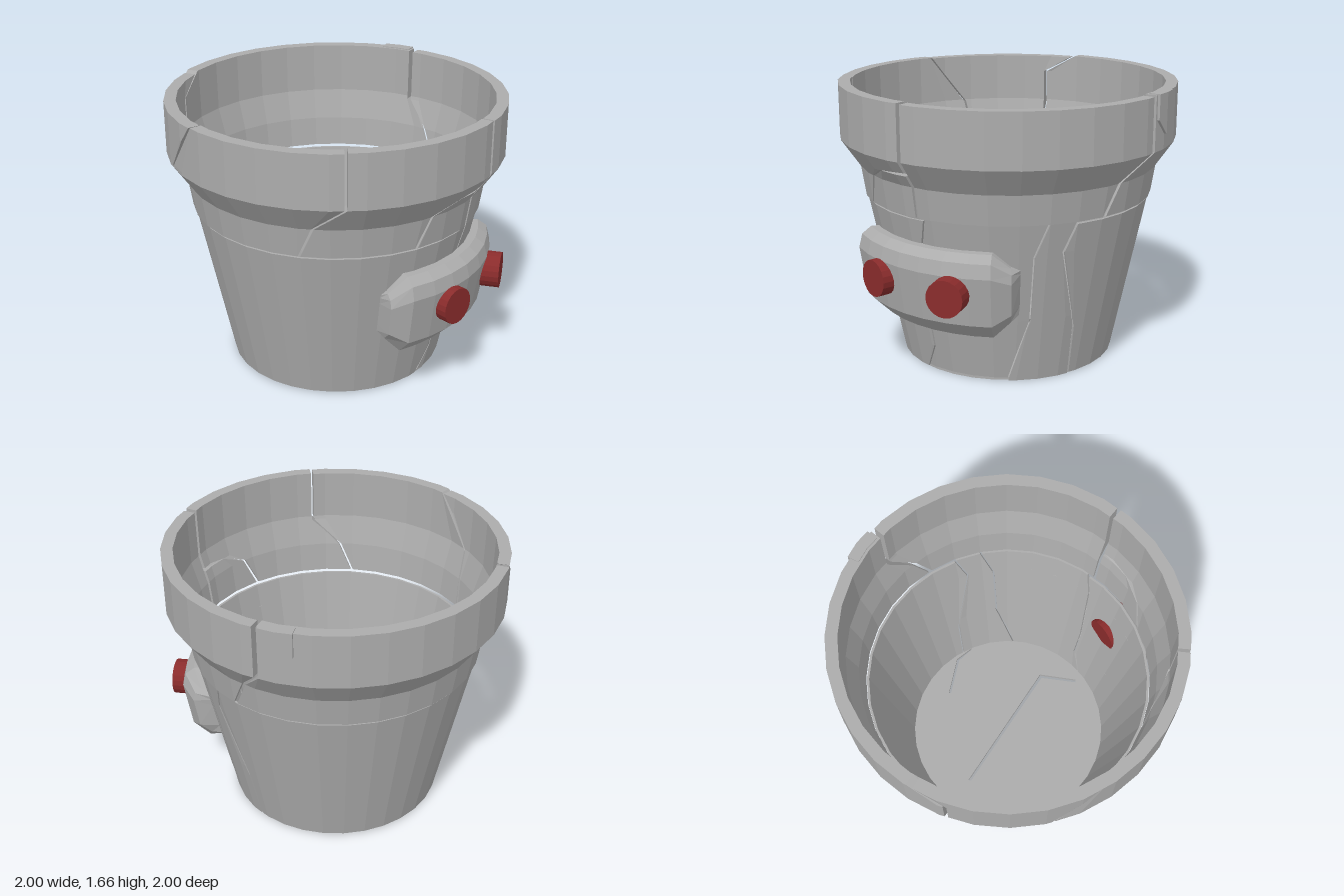
import * as THREE from 'three';

const RAD = Math.PI / 180;
const SIDES = 32;

// Linear lookup in a list of [y, value] pairs sorted by rising y
function at(list, y) {
  if (y <= list[0][0]) return list[0][1];
  for (let i = 1; i < list.length; i++) {
    const [y0, v0] = list[i - 1], [y1, v1] = list[i];
    if (y <= y1) return v0 + (v1 - v0) * (y - y0) / (y1 - y0);
  }
  return list[list.length - 1][1];
}

// Point on the faceted pot; angle in degrees from the front towards +x
function polar(r, deg, y) {
  const step = 360 / SIDES;
  const off = deg - Math.floor(deg / step) * step - step / 2;
  const rr = r * Math.cos(step / 2 * RAD) / Math.cos(off * RAD);
  return new THREE.Vector3(rr * Math.sin(deg * RAD), y, rr * Math.cos(deg * RAD));
}

// Collects quads into flat, unshared triangles
function mesher() {
  const pos = [];
  const tri = (a, b, c) => {
    const n = b.clone().sub(a).cross(c.clone().sub(a));
    if (n.lengthSq() > 1e-14) pos.push(...a.toArray(), ...b.toArray(), ...c.toArray());
  };
  return {
    tri,
    quad(a, b, c, d) { tri(a, b, c); tri(a, c, d); },
    geometry() {
      const g = new THREE.BufferGeometry();
      g.setAttribute('position', new THREE.Float32BufferAttribute(pos, 3));
      g.computeVertexNormals();
      return g;
    }
  };
}

// A piece of pot wall between two cracks, each a list of [y, angle]
function shard(outer, inner, left, right, y0, y1, gap = 0.5, push = 0) {
  const m = mesher();
  const ys = [...new Set([y0, y1, ...[outer, inner, left, right].flat().map(p => p[0])])]
    .filter(y => y >= y0 && y <= y1).sort((a, b) => a - b);
  const step = 360 / SIDES;
  const all = [...left, ...right].map(p => p[1]);
  const k0 = Math.floor(Math.min(...all) / step), k1 = Math.ceil(Math.max(...all) / step);
  const rows = ys.map(y => {
    const a = at(left, y) + gap / 2, b = Math.max(a, at(right, y) - gap / 2);
    const out = [], inn = [];
    for (let k = k0; k <= k1; k++) {
      const t = Math.min(b, Math.max(a, k * step));
      out.push(polar(at(outer, y) + push, t, y));
      inn.push(polar(at(inner, y) + push, t, y));
    }
    return [...out, ...inn.reverse()];
  });
  const n = rows[0].length;
  for (let j = 0; j + 1 < rows.length; j++)
    for (let i = 0; i < n; i++) {
      const q = (i + 1) % n;
      m.quad(rows[j][i], rows[j][q], rows[j + 1][q], rows[j + 1][i]);
    }
  const top = rows[rows.length - 1], low = rows[0];
  for (let i = 0; i < n / 2 - 1; i++) {
    const o = n - 1 - i;
    m.quad(top[i], top[i + 1], top[o - 1], top[o]);
    m.quad(low[o], low[o - 1], low[i + 1], low[i]);
  }
  return m.geometry();
}

const turn = crack => crack.map(([y, a]) => [y, a + 360]);

export function createModel() {
  const clay = new THREE.MeshStandardMaterial({ color: 0xacacac, flatShading: true, side: THREE.DoubleSide });
  clay.name = 'grey clay';
  const red = new THREE.MeshStandardMaterial({ color: 0x8a2c2c, flatShading: true });
  red.name = 'dark red';
  const model = new THREE.Group();
  model.name = 'crackedPot';
  const add = (name, geometry, material) => {
    const mesh = new THREE.Mesh(geometry, material);
    mesh.name = name;
    model.add(mesh);
    return mesh;
  };

  // Upper rim: profiles as [y, radius], cracks as [y, angle]
  const rimOut = [[1, 0.862], [1.18, 0.89], [1.34, 1], [1.66, 1]];
  const rimIn = [[1, 0.85], [1.18, 0.872], [1.36, 0.925], [1.66, 0.93]];
  const front = [[1, -22.8], [1.18, -17.5], [1.34, -6.3], [1.66, -6.3]];
  const brow = [[1, 21.5], [1.18, 27], [1.25, 37], [1.27, 50], [1.66, 50]];
  const browSide = [[1, 50], [1.26, 50]];
  const side = [[1, 50], [1.66, 50]];
  const back = [[1, 124], [1.18, 130], [1.34, 139.5], [1.66, 139.5]];
  const rear = [[1, -110], [1.55, -110], [1.66, -122]];
  const left = [[1, -80], [1.35, -76], [1.66, -61]];
  [
    ['rimFront', front, brow, 1, 1.66, 1.2],
    ['rimChip', brow, browSide, 1, 1.25, 1],
    ['rimSide', side, back, 1, 1.655, 1.6],
    ['rimBack', back, turn(rear), 1, 1.66, 1.6],
    ['rimRear', rear, left, 1, 1.65, 0.8],
    ['rimLeft', left, front, 1, 1.655, 0.8]
  ].forEach(([name, a, b, y0, y1, gap]) => add(name, shard(rimOut, rimIn, a, b, y0, y1, gap), clay));
  add('loosePiece', shard(rimOut, rimIn, [[1.43, 146], [1.52, 141], [1.66, 141]],
    [[1.43, 147], [1.52, 152], [1.66, 152]], 1.43, 1.665, 0.2, 0.015), clay);

  // Lower wall
  const wallOut = [[0, 0.645], [1, 0.852]];
  const wallIn = [[0, 0.63], [1, 0.838]];
  const nearFace = [[0, 39], [0.17, 47], [0.4, 47], [0.84, 50], [1, 53]];
  const flank = [[0, 85.5], [0.4, 95.6], [0.8, 96], [1, 101]];
  const flankBack = [[0, 119], [0.33, 117.7], [0.82, 108], [1, 112.6]];
  add('wallSide', shard(wallOut, wallIn, nearFace, flank, 0.02, 1, 0.6), clay);
  add('wallFlank', shard(wallOut, wallIn, flank, flankBack, 0, 1, 1), clay);
  add('wallMain', shard(wallOut, wallIn, flankBack, turn(nearFace), 0.005, 0.984, 1), clay);

  // Floor with two open cracks; shape y runs towards the back
  const ring = [];
  for (let i = 0; i < SIDES; i++) {
    const a = i / SIDES * 2 * Math.PI;
    ring.push(new THREE.Vector2(0.638 * Math.cos(a), 0.638 * Math.sin(a)));
  }
  const floor = new THREE.Shape(ring);
  [
    [[-0.37, 0.27], [0.38, -0.225], [0.34, -0.47], [0.32, -0.47], [0.355, -0.235], [-0.375, 0.252]],
    [[0.25, 0.405], [0.5, 0.35], [0.58, 0.25], [0.57, 0.25], [0.49, 0.335], [0.25, 0.39]]
  ].forEach(p => floor.holes.push(new THREE.Path(p.map(([x, y]) => new THREE.Vector2(x, y)))));
  const floorGeo = new THREE.ExtrudeGeometry(floor, { depth: 0.02, bevelEnabled: false });
  floorGeo.rotateX(-Math.PI / 2);
  add('floor', floorGeo, clay);

  // Visor: chamfered band wrapped round the wall, tapering at both ends
  const section = [[0.33, 0.705], [0.33, 0.8], [0.43, 0.9], [0.72, 0.945], [0.8, 0.925], [0.84, 0.87], [0.84, 0.81]];
  const stops = [[9, 0, 0.5], [11, 0.7, 0.6], [18, 1, 1], [27, 1, 1], [36, 1, 1], [45, 1, 1], [54, 1, 1],
    [63, 1, 1], [72, 1, 1], [80, 1, 1], [87, 0.7, 0.65], [91, 0, 0.55]];
  const loops = stops.map(([deg, bulge, tall]) => section.map(([y, r]) => {
    const yy = 0.585 + (y - 0.585) * tall;
    const base = at(wallOut, yy) - 0.005;
    const rr = base + (r - at(wallOut, y)) * bulge;
    return new THREE.Vector3(rr * Math.sin(deg * RAD), yy, rr * Math.cos(deg * RAD));
  }));
  const visor = mesher();
  for (let i = 0; i + 1 < loops.length; i++)
    for (let j = 0; j + 1 < section.length; j++)
      visor.quad(loops[i][j], loops[i + 1][j], loops[i + 1][j + 1], loops[i][j + 1]);
  add('visor', visor.geometry(), clay);

  // Eyes: short red drums, the front one reaching through the wall
  [['frontEye', 35, 0.74, 0.985], ['sideEye', 66, 0.86, 1.02]].forEach(([name, deg, r0, r1]) => {
    const g = new THREE.CylinderGeometry(0.108, 0.108, r1 - r0, 20);
    g.rotateX(Math.PI / 2);
    g.translate(0, 0.62, (r0 + r1) / 2);
    g.rotateY(deg * RAD);
    add(name, g, red);
  });

  return model;
}
